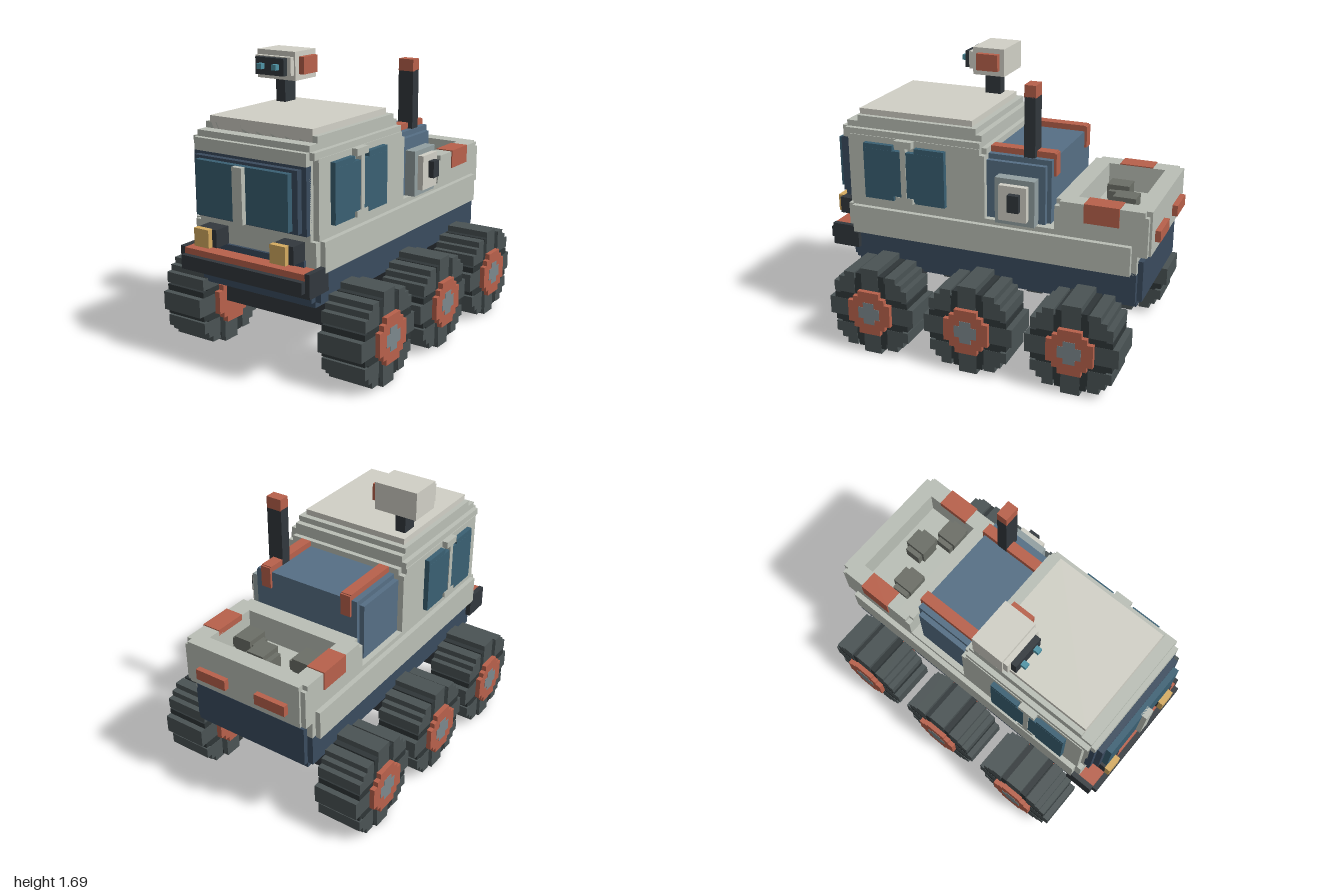
import * as THREE from 'three';

const C = {
  shell: 0xbabfb6, cream: 0xd1d0c6, navy: 0x3a4b5e, teal: 0x3a6073, blue: 0x566f85, orange: 0xb8614b,
  dark: 0x32383d, tyre: 0x4a5354, groove: 0x2f3638, steel: 0x7c888c, vent: 0x929fa1, amber: 0xd5ab60,
  stone: 0x6c6f67, eye: 0x4f93a5,
};
const mats = {};
const mat = (c) => (mats[c] ??= new THREE.MeshStandardMaterial({ color: C[c], flatShading: true }));

// Box given by its limits along each axis
function box(parent, name, color, [x0, x1], [y0, y1], [z0, z1]) {
  const m = new THREE.Mesh(new THREE.BoxGeometry(x1 - x0, y1 - y0, z1 - z0), mat(color));
  m.position.set((x0 + x1) / 2, (y0 + y1) / 2, (z0 + z1) / 2);
  m.name = name;
  parent.add(m);
  return m;
}
const sym = (w) => [-w, w];

function group(parent, name) {
  const g = new THREE.Group();
  g.name = name;
  parent.add(g);
  return g;
}

// Blocky disc across x: one box per [half height, half depth] step
function disc(parent, name, color, x, steps) {
  for (const [h, d] of steps) box(parent, name, color, x, sym(h), sym(d));
}

// Wheel with its outer face towards +x, centred on its axle
function makeWheel(parent, side, z) {
  const w = group(parent, 'wheel');
  const X = [0.41, 0.68];
  disc(w, 'tyreCore', 'groove', X, [[0.235, 0.09], [0.2, 0.165], [0.165, 0.2], [0.09, 0.235]]);
  disc(w, 'tread', 'tyre', [0.409, 0.681], [[0.27, 0.055], [0.055, 0.27]]);
  for (const a of [-1, 1]) for (const b of [-1, 1]) {
    for (const [h, d] of [[0.235, 0.165], [0.2, 0.2], [0.165, 0.235]]) {
      const lug = box(w, 'tread', 'tyre', [0.408, 0.682], [0.1, h], [0.1, d]);
      lug.position.y *= a;
      lug.position.z *= b;
    }
  }
  disc(w, 'hub', 'orange', [0.375, 0.71], [[0.135, 0.068], [0.1, 0.1], [0.068, 0.135]]);
  disc(w, 'hubCap', 'steel', [0.39, 0.712], [[0.068, 0.035], [0.035, 0.068]]);
  w.position.set(0, 0.275, z);
  if (side < 0) w.rotation.y = Math.PI;
}

export function createModel() {
  const model = new THREE.Group();
  model.name = 'rover';

  // Wheels and axles
  const running = group(model, 'runningGear');
  for (const z of [0.597, -0.015, -0.627]) {
    for (const s of [-1, 1]) makeWheel(running, s, z);
    box(running, 'axle', 'dark', sym(0.375), [0.275, 0.42], [z - 0.07, z + 0.07]);
  }

  // Hull with stepped corners
  const hull = group(model, 'hull');
  box(hull, 'hullSide', 'navy', sym(0.405), [0.48, 0.66], [-0.9, 0.83]);
  box(hull, 'hullEnds', 'navy', sym(0.37), [0.48, 0.72], [-0.93, 0.865]);
  box(hull, 'hullLower', 'navy', sym(0.37), [0.445, 0.5], [-0.9, 0.83]);
  box(hull, 'hullKeel', 'navy', sym(0.34), [0.415, 0.46], [-0.43, 0.42]);
  box(hull, 'frontSill', 'navy', sym(0.34), [0.66, 0.715], [0.8, 0.885]);

  // Lower shell band and deck
  const shell = group(model, 'lowerShell');
  box(shell, 'sideBand', 'shell', sym(0.435), [0.65, 0.82], [-0.87, 0.83]);
  box(shell, 'bandEnds', 'shell', sym(0.405), [0.65, 0.82], [-0.9, 0.868]);
  box(shell, 'deck', 'shell', sym(0.405), [0.81, 0.85], [-0.9, 0.02]);

  // Cabin with stepped roof
  const cabin = group(model, 'cabin');
  box(cabin, 'cabinBody', 'shell', sym(0.405), [0.81, 1.255], [0.02, 0.84]);
  box(cabin, 'cabinEnds', 'shell', sym(0.37), [0.81, 1.255], [-0.01, 0.87]);
  box(cabin, 'rearCorner', 'shell', sym(0.405), [0.81, 1.22], [-0.01, 0.05]);
  box(cabin, 'brow', 'shell', sym(0.37), [1.22, 1.29], [0.02, 0.9]);
  box(cabin, 'roofStep', 'shell', sym(0.4), [1.25, 1.29], [0.02, 0.87]);
  box(cabin, 'roofStep', 'shell', sym(0.37), [1.28, 1.325], [0.02, 0.87]);
  box(cabin, 'roofStep', 'shell', sym(0.37), [1.32, 1.36], [0.055, 0.8]);
  box(cabin, 'roof', 'cream', sym(0.34), [1.32, 1.395], [0.09, 0.8]);

  // Windscreen
  box(cabin, 'screenFrame', 'navy', sym(0.37), [0.855, 1.22], [0.86, 0.9]);
  box(cabin, 'screenFrame', 'navy', sym(0.34), [0.87, 1.205], [0.89, 0.935]);
  box(cabin, 'windscreen', 'teal', sym(0.305), [0.885, 1.19], [0.92, 0.97]);
  box(cabin, 'screenBar', 'shell', sym(0.032), [0.885, 1.19], [0.96, 1]);

  // Side windows with an I-shaped pillar
  for (const s of [-1, 1]) {
    const X = (x0, x1) => (s > 0 ? [x0, x1] : [-x1, -x0]);
    const side = group(cabin, 'sideWindows');
    for (const [z0, z1] of [[0.225, 0.47], [0.49, 0.735]]) {
      const outer = z0 < 0.4 ? [z0, z1 - 0.06] : [z0 + 0.06, z1];
      box(side, 'sideWindow', 'teal', X(0.39, 0.42), [0.885, 1.19], [z0, z1]);
      box(side, 'sideWindow', 'teal', X(0.39, 0.436), [0.915, 1.19], [z0, z1]);
      box(side, 'sideWindow', 'teal', X(0.39, 0.435), [0.885, 1.22], outer);
    }
    box(side, 'pillar', 'shell', X(0.39, 0.44), [0.885, 1.25], [0.463, 0.497]);
    box(side, 'pillarCap', 'shell', X(0.39, 0.44), [1.215, 1.255], [0.425, 0.535]);
    box(side, 'pillarFoot', 'shell', X(0.39, 0.44), [0.88, 0.915], [0.425, 0.535]);
  }

  // Bumper and headlights
  const front = group(model, 'frontEnd');
  box(front, 'bumper', 'dark', sym(0.435), [0.55, 0.645], [0.8, 0.97]);
  box(front, 'bumperFace', 'dark', sym(0.405), [0.58, 0.645], [0.96, 1]);
  box(front, 'bumperStrip', 'orange', sym(0.405), [0.64, 0.68], [0.868, 0.97]);
  for (const s of [-1, 1]) {
    box(front, 'bumperEnd', 'dark', s > 0 ? [0.405, 0.435] : [-0.435, -0.405], [0.64, 0.685], [0.83, 0.97]);
  }
  for (const x of [-0.305, 0.205]) {
    box(front, 'lampHousing', 'dark', [x, x + 0.13], [0.715, 0.815], [0.86, 0.97]);
    box(front, 'headlight', 'amber', [x, x + 0.1], [0.715, 0.817], [0.965, 1]);
  }

  // Engine cover, straps and exhaust
  const engine = group(model, 'engine');
  box(engine, 'engineCover', 'blue', sym(0.37), [0.84, 1.19], [-0.36, -0.005]);
  box(engine, 'engineCover', 'blue', sym(0.34), [0.84, 1.22], [-0.385, -0.005]);
  for (const x of [-0.305, 0.24]) {
    box(engine, 'strap', 'orange', [x, x + 0.065], [1.2, 1.255], [-0.39, -0.01]);
    box(engine, 'strapEnd', 'orange', [x, x + 0.065], [1.12, 1.25], [-0.4, -0.37]);
  }
  box(engine, 'exhaustPipe', 'dark', [0.238, 0.335], [1.18, 1.565], [-0.285, -0.22]);
  box(engine, 'exhaustTip', 'orange', [0.238, 0.335], [1.56, 1.63], [-0.286, -0.219]);

  // Air intake on the left side
  box(engine, 'intakeFrame', 'vent', [0.36, 0.435], [0.85, 1.12], [-0.32, -0.085]);
  box(engine, 'intakePanel', 'cream', [0.42, 0.47], [0.885, 1.09], [-0.285, -0.12]);
  box(engine, 'intakeVent', 'dark', [0.46, 0.505], [0.95, 1.05], [-0.25, -0.185]);

  // Open cargo bed
  const bed = group(model, 'cargoBed');
  box(bed, 'bedFloor', 'shell', sym(0.37), [0.76, 0.86], [-0.94, -0.43]);
  for (const s of [-1, 1]) {
    const X = (x0, x1) => (s > 0 ? [x0, x1] : [-x1, -x0]);
    box(bed, 'bedSide', 'shell', X(0.3, 0.405), [0.76, 1.02], [-0.935, -0.455]);
    box(bed, 'bedCorner', 'shell', X(0.3, 0.405), [0.76, 0.99], [-0.955, -0.425]);
    box(bed, 'clamp', 'orange', X(0.3, 0.412), [0.915, 1.026], [-0.795, -0.595]);
    box(bed, 'tailLight', 'orange', X(0.1, 0.3), [0.82, 0.885], [-1, -0.96]);
  }
  box(bed, 'tailgate', 'shell', sym(0.375), [0.76, 1.02], [-0.968, -0.87]);
  box(bed, 'bedFront', 'shell', sym(0.37), [0.82, 1.02], [-0.53, -0.425]);
  for (const [x, z, h] of [[-0.185, -0.635, 0.92], [0.045, -0.735, 0.94], [0.215, -0.635, 0.92]]) {
    box(bed, 'rock', 'stone', [x - 0.085, x + 0.085], [0.85, h], [z - 0.05, z + 0.05]);
    box(bed, 'rock', 'stone', [x - 0.055, x + 0.055], [0.85, h + 0.03], [z - 0.067, z + 0.067]);
  }

  // Camera head on its mast
  const head = group(model, 'cameraHead');
  box(head, 'mast', 'dark', [-0.305, -0.24], [1.38, 1.54], [0.155, 0.255]);
  box(head, 'headShell', 'cream', [-0.41, -0.14], [1.53, 1.695], [0.09, 0.29]);
  box(head, 'headFront', 'cream', [-0.4, -0.15], [1.56, 1.665], [0.28, 0.32]);
  box(head, 'face', 'dark', [-0.375, -0.175], [1.56, 1.66], [0.3, 0.355]);
  for (const x of [-0.34, -0.237]) box(head, 'eye', 'eye', [x, x + 0.032], [1.595, 1.627], [0.35, 0.388]);
  box(head, 'sidePod', 'orange', [-0.15, -0.105], [1.565, 1.665], [0.12, 0.255]);

  return model;
}
